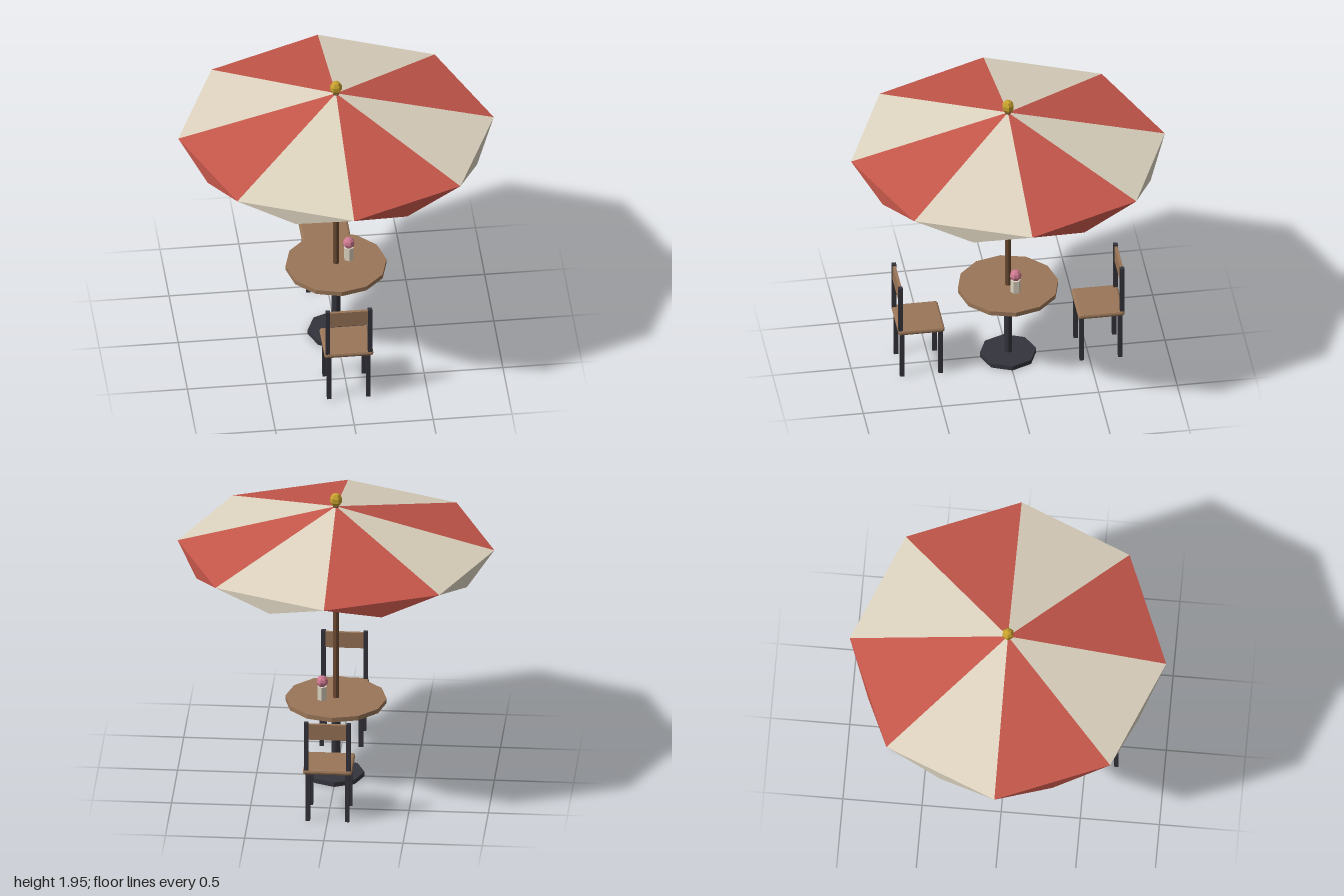
import * as THREE from 'three';
import { RoundedBoxGeometry } from 'three/addons/geometries/RoundedBoxGeometry.js';

const mat = (name, color, side = THREE.FrontSide) => {
  const m = new THREE.MeshStandardMaterial({ color, side, flatShading: true });
  m.name = name;
  return m;
};

export function createModel() {
  const red = mat('canvas red', 0xc4564a, THREE.DoubleSide);
  const cream = mat('canvas cream', 0xddd3bf, THREE.DoubleSide);
  const wood = mat('wood', 0x9a7658);
  const poleWood = mat('dark wood', 0x6b4a32);
  const iron = mat('iron', 0x34343c);
  const gold = mat('gold', 0xc9a22e);
  const pink = mat('pink', 0xd07a92);
  const ceramic = mat('ceramic', 0xddd5c2);

  const model = new THREE.Group();
  model.name = 'parasolTable';

  const add = (parent, name, geometry, material, x, y, z) => {
    const mesh = new THREE.Mesh(geometry, material);
    mesh.name = name;
    mesh.position.set(x, y, z);
    parent.add(mesh);
    return mesh;
  };

  // Canopy: eight panels, each with a hanging triangular flap
  const canopy = new THREE.Group();
  canopy.name = 'canopy';
  model.add(canopy);
  const sides = 8, apexY = 1.86, rimY = 1.59, tipY = 1.49;
  const rim = (i) => {
    const a = (i / sides) * Math.PI * 2;
    return new THREE.Vector3(Math.cos(a), rimY, Math.sin(a));
  };
  for (let i = 0; i < sides; i++) {
    const apex = new THREE.Vector3(0, apexY, 0);
    const a = rim(i), b = rim(i + 1);
    const tip = a.clone().lerp(b, 0.5).setY(tipY);
    const panel = new THREE.BufferGeometry().setFromPoints([apex, b, a, a, b, tip]);
    panel.computeVertexNormals();
    add(canopy, 'canopyPanel', panel, i % 2 ? red : cream, 0, 0, 0);
  }

  // Finial, pole and foot
  const finial = add(model, 'finial', new THREE.SphereGeometry(0.04, 6, 5), gold, 0, 1.905, 0);
  finial.scale.y = 1.15;
  add(model, 'pole', new THREE.CylinderGeometry(0.019, 0.019, 1.33, 8), poleWood, 0, 1.195, 0);
  add(model, 'tablePost', new THREE.CylinderGeometry(0.027, 0.027, 0.49, 8), iron, 0, 0.27, 0);
  add(model, 'base', new THREE.CylinderGeometry(0.18, 0.18, 0.03, 8), iron, 0, 0.015, 0);

  // Table top with a flower in a vase
  add(model, 'tableTop', new THREE.CylinderGeometry(0.32, 0.32, 0.03, 12), wood, 0, 0.525, 0);
  add(model, 'vase', new THREE.CylinderGeometry(0.032, 0.032, 0.09, 6), ceramic, 0.085, 0.585, -0.035);
  add(model, 'flower', new THREE.SphereGeometry(0.038, 7, 6), pink, 0.085, 0.662, -0.035);

  // Chair built with its back towards +z
  const makeChair = () => {
    const chair = new THREE.Group();
    chair.name = 'chair';
    add(chair, 'seat', new RoundedBoxGeometry(0.31, 0.034, 0.295, 1, 0.014), wood, 0, 0.339, 0.573);
    for (const s of [-1, 1]) {
      for (const z of [0.45, 0.695])
        add(chair, 'leg', new THREE.BoxGeometry(0.028, 0.33, 0.028), iron, s * 0.124, 0.165, z);
      add(chair, 'backPost', new THREE.BoxGeometry(0.028, 0.325, 0.028), iron, s * 0.134, 0.5175, 0.706);
    }
    add(chair, 'backRest', new THREE.BoxGeometry(0.25, 0.105, 0.02), wood, 0, 0.618, 0.706);
    return chair;
  };
  for (const turn of [0, Math.PI]) {
    const chair = makeChair();
    chair.rotation.y = turn;
    model.add(chair);
  }
  return model;
}
